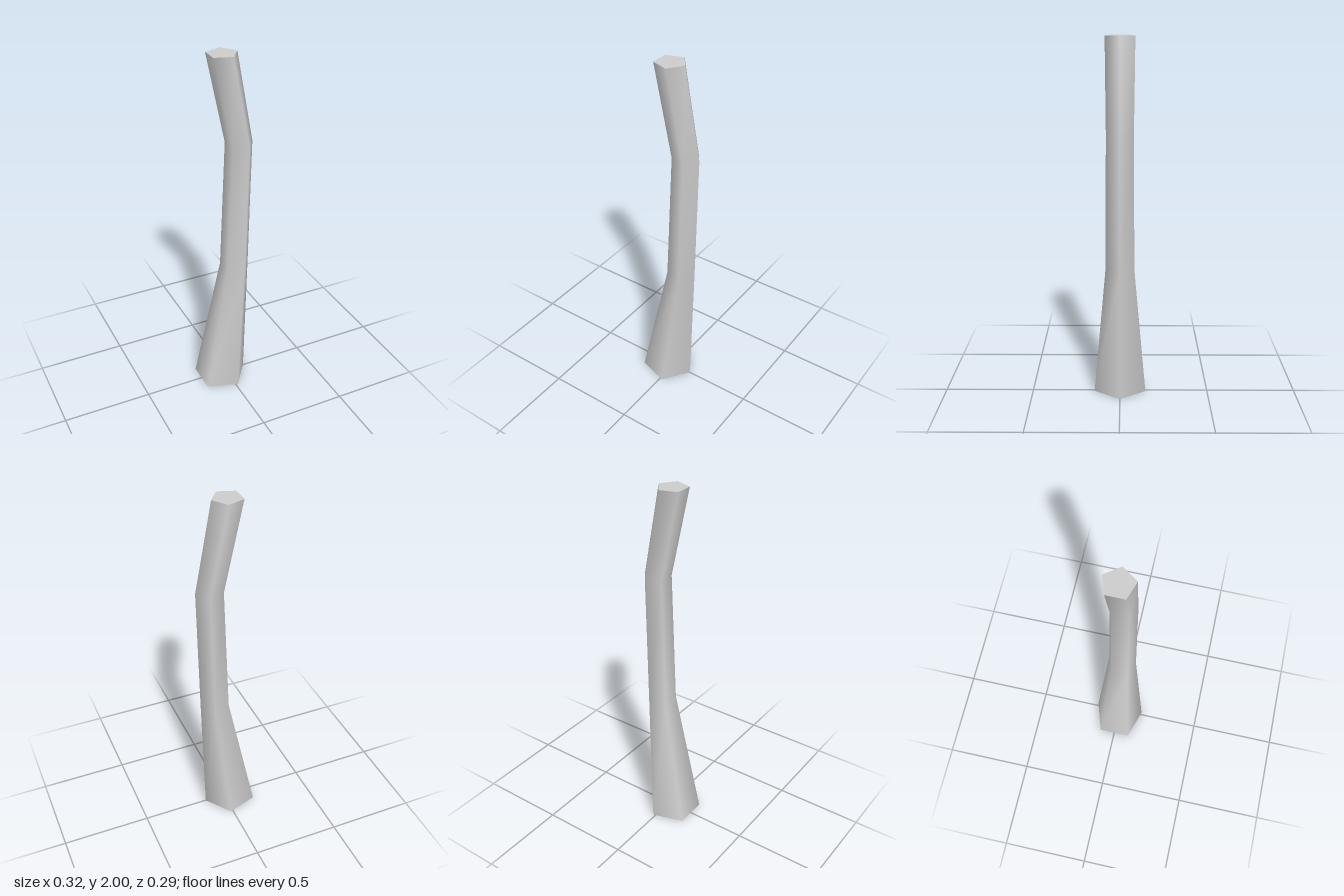
import * as THREE from 'three';

// Cross-sections from bottom to top: height, sideways offset, radius
const SECTIONS = [
  { y: 0, x: -0.034, r: 0.1535 },
  { y: 0.755, x: 0.057, r: 0.083 },
  { y: 1.5, x: 0.08, r: 0.077 },
  { y: 2, x: -0.019, r: 0.084 },
];
const SIDES = 5;

// Five-sided column whose rings follow the sections, smooth around the sides
function bentTrunk() {
  const rows = SECTIONS.length - 1;
  const geo = new THREE.CylinderGeometry(1, 1, rows, SIDES, rows, false, Math.PI / 2);
  const pos = geo.attributes.position;
  for (let i = 0; i < pos.count; i++) {
    const s = SECTIONS[Math.round(pos.getY(i) + rows / 2)];
    pos.setXYZ(i, s.x + pos.getX(i) * s.r, s.y, pos.getZ(i) * s.r);
  }
  geo.computeVertexNormals();

  // Blend the normals where the side surface closes on itself
  const normal = geo.attributes.normal;
  const a = new THREE.Vector3(), b = new THREE.Vector3();
  for (let row = 0; row <= rows; row++) {
    const first = row * (SIDES + 1), last = first + SIDES;
    a.fromBufferAttribute(normal, first);
    b.fromBufferAttribute(normal, last);
    a.add(b).normalize();
    normal.setXYZ(first, a.x, a.y, a.z);
    normal.setXYZ(last, a.x, a.y, a.z);
  }
  return geo;
}

export function createModel() {
  const group = new THREE.Group();
  group.name = 'bentPost';
  const trunk = new THREE.Mesh(bentTrunk(), new THREE.MeshStandardMaterial({ color: 0xcccccc }));
  trunk.name = 'trunk';
  group.add(trunk);
  return group;
}
